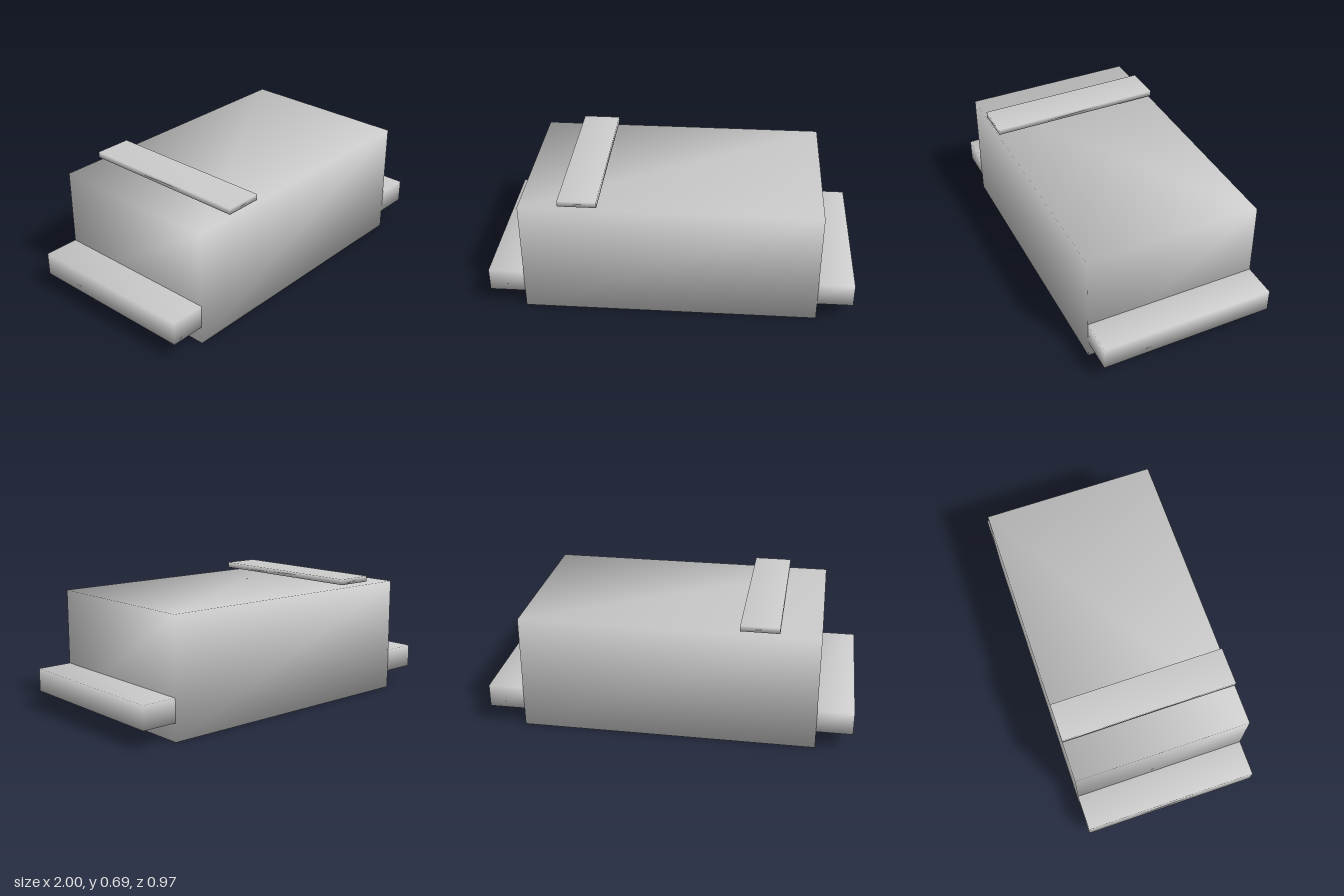
import * as THREE from 'three';
import { mergeVertices } from 'three/addons/utils/BufferGeometryUtils.js';

const grey = new THREE.MeshStandardMaterial({ name: 'grey', color: 0xcccccc });

// Box given by its limits, with shared corners so the shading runs smoothly round the edges
function softBox(name, [x0, x1], [y0, y1], halfDepth) {
  let geometry = new THREE.BoxGeometry(x1 - x0, y1 - y0, halfDepth * 2);
  geometry.deleteAttribute('normal');
  geometry.deleteAttribute('uv');
  geometry = mergeVertices(geometry);
  geometry.computeVertexNormals();
  const mesh = new THREE.Mesh(geometry, grey);
  mesh.name = name;
  mesh.position.set((x0 + x1) / 2, (y0 + y1) / 2, 0);
  return mesh;
}

export function createModel() {
  const group = new THREE.Group();
  group.name = 'block';

  // Main body
  group.add(softBox('body', [-0.805, 0.805], [0, 0.645], 0.485));

  // Side ledges, reaching into the body
  group.add(softBox('leftLedge', [0.68, 1], [0.1, 0.228], 0.4845));
  group.add(softBox('rightLedge', [-1, -0.68], [0.1, 0.228], 0.4845));

  // Thin strip floating just above the top
  group.add(softBox('topStrip', [-0.59, -0.383], [0.663, 0.695], 0.485));

  return group;
}
